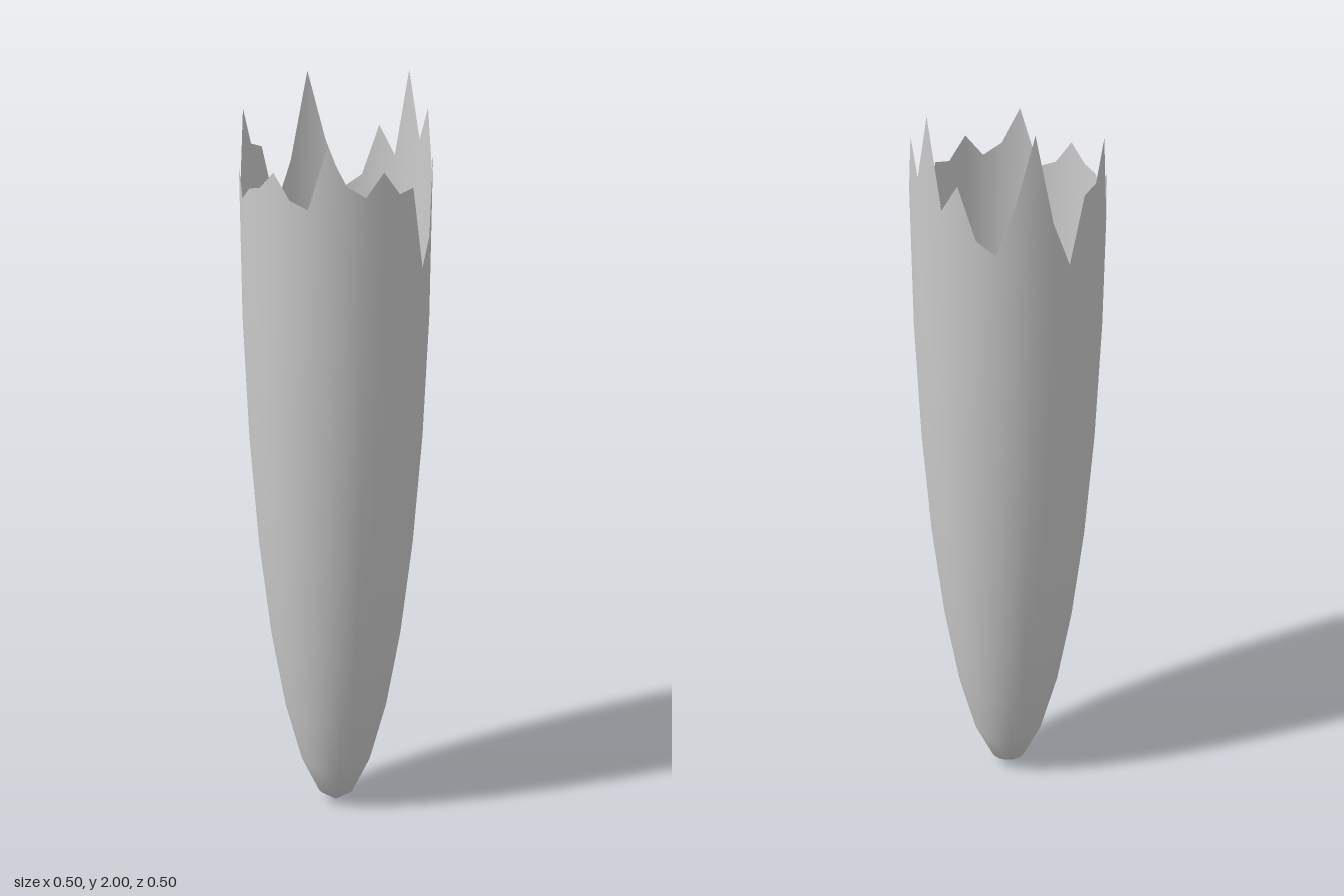
import * as THREE from 'three';

const RADIUS = 0.248, DEPTH = 1.72, RINGS = 8;

// Heights of the broken rim, running from the front (+z) round by the left (+x)
const RIM = [
  1.715, 1.87, 1.775, 1.745, 1.805, 1.745, 1.755, 1.54,
  1.61, 1.82, 1.76, 1.915, 1.825, 2.0, 1.77, 1.845,
  1.71, 1.675, 1.80, 1.985, 1.75, 1.63, 1.80, 1.815,
  1.915, 1.68, 1.785, 1.71, 1.745, 1.755, 1.80, 1.735,
];

export function createModel() {
  const group = new THREE.Group();
  group.name = 'brokenShell';

  // Half-ellipsoid profile from the tip up to the equator
  const profile = [];
  for (let j = 0; j <= RINGS; j++) {
    const t = (j / RINGS) * Math.PI / 2;
    profile.push(new THREE.Vector2(RADIUS * Math.sin(t), DEPTH * (1 - Math.cos(t))));
  }
  const geometry = new THREE.LatheGeometry(profile, RIM.length);

  // Move the top ring up and down into a jagged edge
  const position = geometry.attributes.position;
  for (let i = 0; i <= RIM.length; i++) {
    position.setY(i * (RINGS + 1) + RINGS, RIM[i % RIM.length]);
  }

  const shell = new THREE.Mesh(geometry, new THREE.MeshStandardMaterial({
    color: 0xcccccc,
    side: THREE.DoubleSide,
  }));
  shell.name = 'jaggedShell';
  group.add(shell);
  return group;
}
